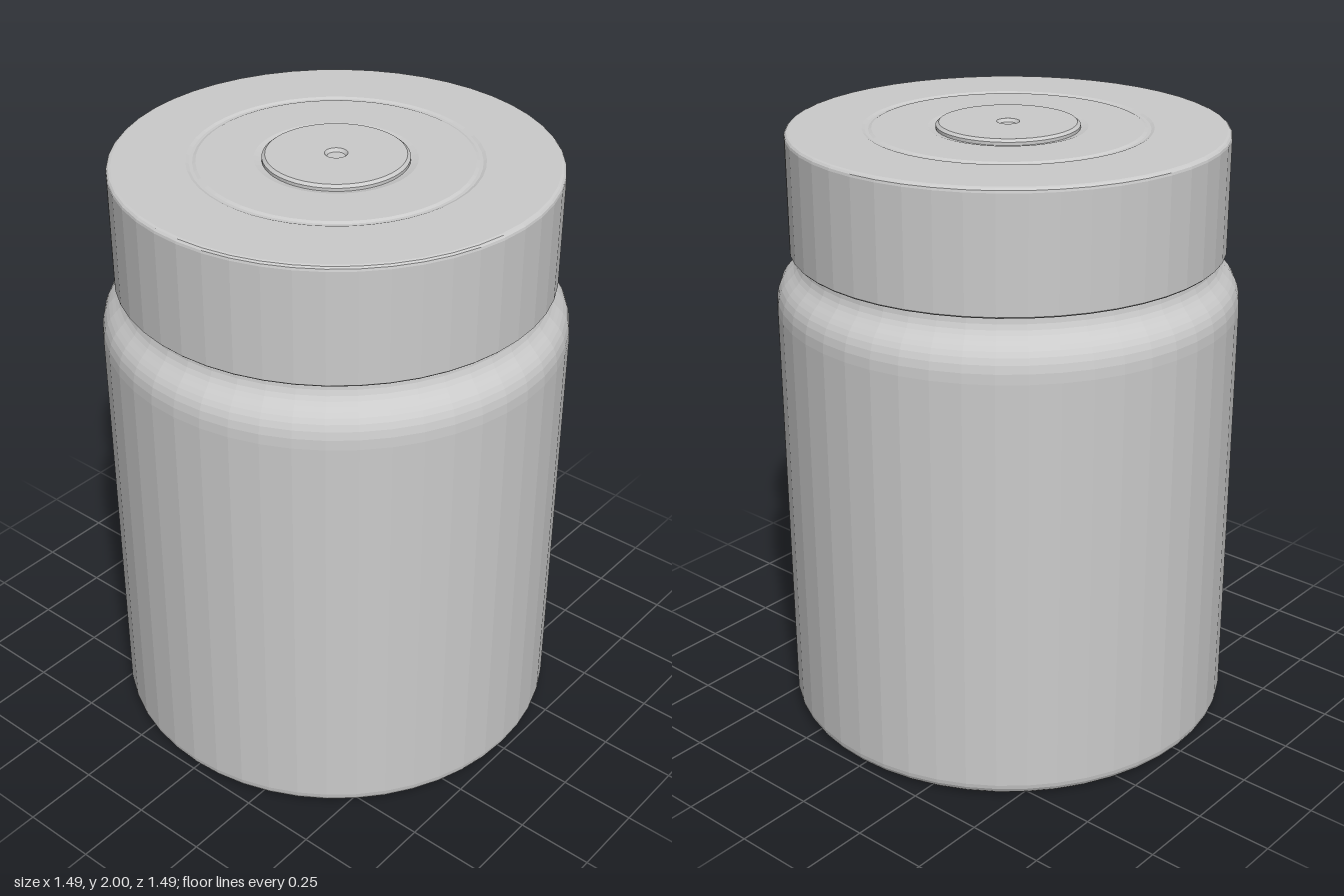
import * as THREE from 'three';

const SIDES = 48;
const material = new THREE.MeshStandardMaterial({ color: 0xcccccc, flatShading: true });

// Revolves a profile of [radius, height] pairs, listed from the underside outwards and up
function revolve(name, profile) {
  const points = profile.map(([r, y]) => new THREE.Vector2(r, y));
  const mesh = new THREE.Mesh(new THREE.LatheGeometry(points, SIDES), material);
  mesh.name = name;
  return mesh;
}

// Quarter-round fillet between two angles, in degrees
function fillet(r, y, radius, from, to, steps = 5) {
  return Array.from({ length: steps + 1 }, (_, i) => {
    const a = THREE.MathUtils.degToRad(from + ((to - from) * i) / steps);
    return [r + radius * Math.cos(a), y + radius * Math.sin(a)];
  });
}

// Rounded S-curve from the body wall in to the neck
function shoulder() {
  const curve = new THREE.CubicBezierCurve(
    new THREE.Vector2(0.743, 1.42), new THREE.Vector2(0.743, 1.54),
    new THREE.Vector2(0.672, 1.52), new THREE.Vector2(0.668, 1.6));
  return curve.getPoints(10).map((p) => [p.x, p.y]);
}

export function createModel() {
  const model = new THREE.Group();
  model.name = 'jarWithLid';

  // Jar body: recessed base, rounded foot, straight wall, shoulder and neck
  model.add(revolve('jarBody', [
    [0, 0.035], [0.3, 0.033], [0.43, 0.027], [0.49, 0.014], [0.54, 0.004], [0.6, 0],
    ...fillet(0.698, 0.045, 0.045, -90, 0),
    ...shoulder(),
    [0.668, 1.66],
  ]));

  // Screw lid: open skirt, small top bevel, shallow ring step on its face
  model.add(revolve('lid', [
    [0.64, 1.64], [0.675, 1.64], [0.675, 1.603], [0.69, 1.603], [0.695, 1.608],
    ...fillet(0.68, 1.972, 0.015, 0, 90, 3),
    [0.455, 1.987], [0.445, 1.983], [0.435, 1.983], [0.425, 1.987],
    [0.25, 1.987], [0.23, 1.982], [0, 1.982],
  ]));

  // Raised button in the middle of the lid, with a small moulding dimple
  model.add(revolve('lidButton', [
    [0.226, 1.975], [0.226, 1.992], [0.216, 2], [0.036, 2],
    [0.028, 1.99], [0, 1.99],
  ]));

  return model;
}
